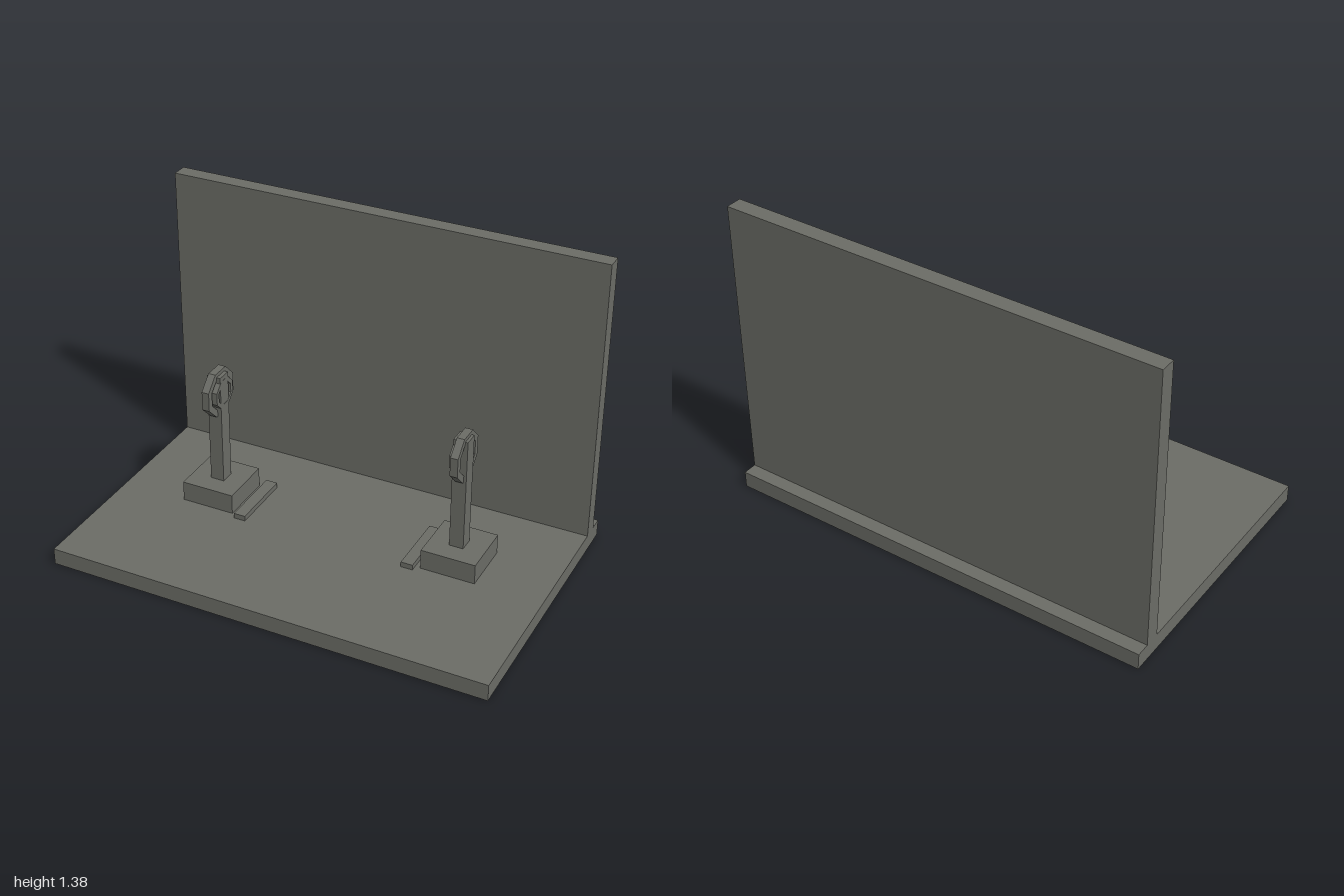
import * as THREE from 'three';

const concrete = new THREE.MeshStandardMaterial({ color: 0x6b6c66 });
concrete.name = 'dark grey';

// Box given by its min and max on each axis
function box(name, [x0, x1], [y0, y1], [z0, z1]) {
  const mesh = new THREE.Mesh(new THREE.BoxGeometry(x1 - x0, y1 - y0, z1 - z0), concrete);
  mesh.position.set((x0 + x1) / 2, (y0 + y1) / 2, (z0 + z1) / 2);
  mesh.name = name;
  return mesh;
}

// Corners of a regular octagon with flat sides up, down, front and back
function octagon(apothem) {
  const r = apothem / Math.cos(Math.PI / 8);
  return Array.from({ length: 8 }, (_, i) => {
    const a = Math.PI / 8 + i * Math.PI / 4;
    return new THREE.Vector2(r * Math.cos(a), r * Math.sin(a));
  });
}

// Octagonal ring facing sideways, spanning x0 to x1
function ring(name, outer, inner, x0, x1) {
  const shape = new THREE.Shape(octagon(outer));
  shape.holes.push(new THREE.Path(octagon(inner).reverse()));
  const geometry = new THREE.ExtrudeGeometry(shape, { depth: x1 - x0, bevelEnabled: false });
  geometry.rotateY(Math.PI / 2);
  const mesh = new THREE.Mesh(geometry, concrete);
  mesh.position.set(x0, 0.602, -0.075);
  mesh.name = name;
  return mesh;
}

// One stand; side is +1 for left and -1 for right
function stand(side) {
  const group = new THREE.Group();
  group.name = side > 0 ? 'leftStand' : 'rightStand';
  const span = (a, b) => (side > 0 ? [a, b] : [-b, -a]);
  group.add(
    box('pedestal', span(0.452, 0.698), [0.075, 0.168], [-0.2, 0.048]),
    box('post', span(0.542, 0.606), [0.168, 0.69], [-0.107, -0.04]),
    ring('outerRing', 0.105, 0.077, ...span(0.56, 0.594)),
    ring('innerRing', 0.068, 0.05, ...span(0.541, 0.577)),
    box('floorStrip', span(0.374, 0.428), [0.075, 0.1], [-0.223, 0.075])
  );
  return group;
}

export function createModel() {
  const model = new THREE.Group();
  model.name = 'platformWithStands';
  model.add(
    box('floor', [-1, 1], [0, 0.076], [-0.625, 0.625]),
    box('backWall', [-1, 1], [0.076, 1.376], [-0.562, -0.489]),
    stand(1),
    stand(-1)
  );
  return model;
}
